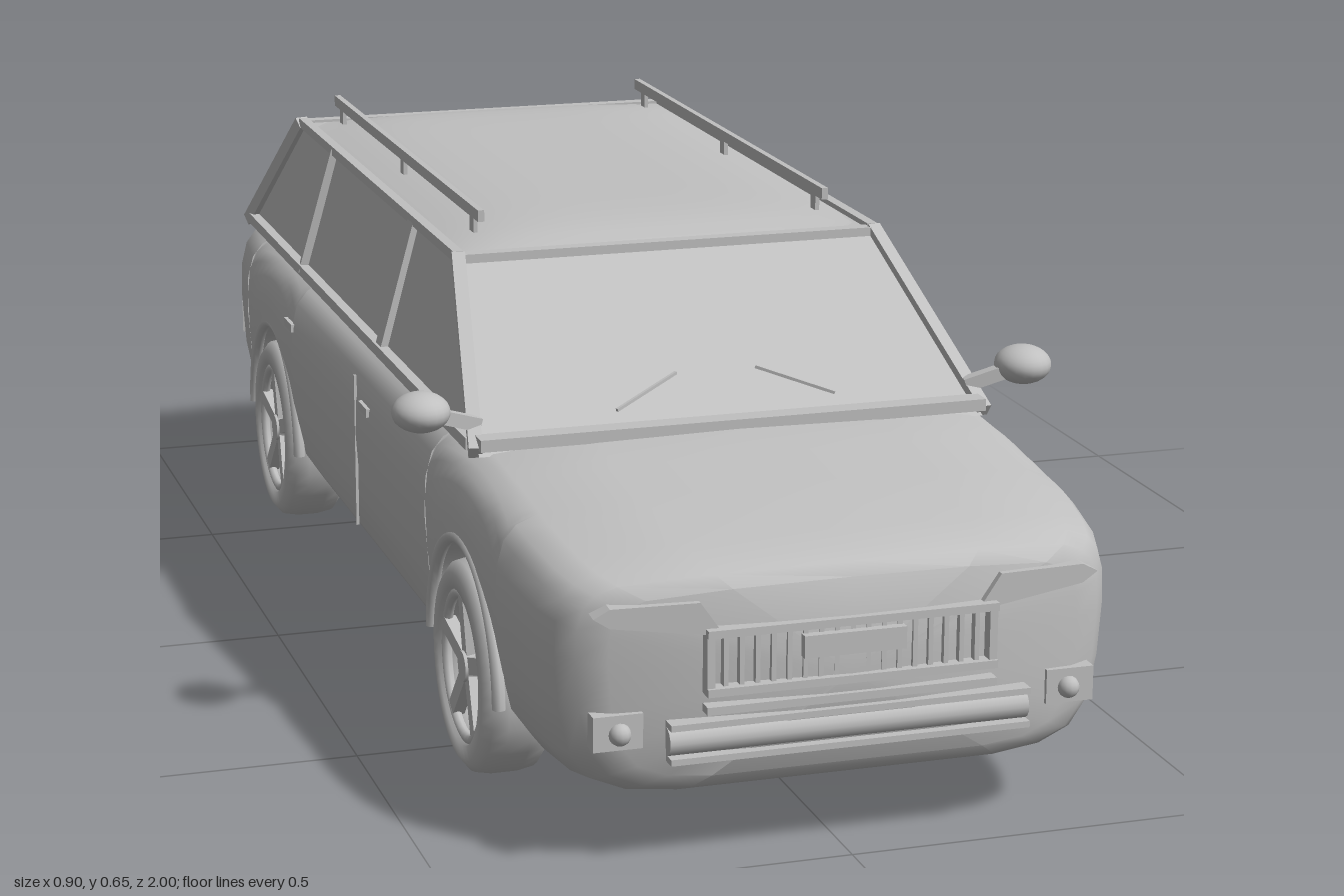
import * as THREE from 'three';
import { toCreasedNormals } from 'three/addons/utils/BufferGeometryUtils.js';

const grey = new THREE.MeshStandardMaterial({ color: 0xc0c0c0 });
grey.name = 'grey paint';
const V = (x, y, z) => new THREE.Vector3(x, y, z);
const lerp = THREE.MathUtils.lerp;

// Piecewise linear lookup in rows sorted by their first entry
function lookup(rows, t, col) {
  let i = 1;
  while (i < rows.length - 1 && rows[i][0] < t) i++;
  const a = rows[i - 1], b = rows[i];
  return lerp(a[col], b[col], THREE.MathUtils.clamp((t - a[0]) / (b[0] - a[0]), 0, 1));
}

function add(parent, name, geometry, x = 0, y = 0, z = 0) {
  const m = new THREE.Mesh(geometry, grey);
  m.name = name;
  m.position.set(x, y, z);
  parent.add(m);
  return m;
}
const box = (parent, name, w, h, d, x, y, z) => add(parent, name, new THREE.BoxGeometry(w, h, d), x, y, z);

// Square bar between two points
function bar(parent, name, a, b, w, d = w) {
  const m = box(parent, name, w, d, a.distanceTo(b), 0, 0, 0);
  m.position.copy(a).lerp(b, 0.5);
  m.lookAt(b);
  return m;
}

const AXLE = 0.585, HUB = 0.14, ARCH = 0.168;
// Body stations: z, half width, bottom, top
const BODY = [
  [-0.99, 0.29, 0.12, 0.345], [-0.98, 0.325, 0.1, 0.38], [-0.95, 0.352, 0.085, 0.4],
  [-0.88, 0.372, 0.078, 0.41], [-0.76, 0.385, 0.075, 0.413], [0.4, 0.385, 0.075, 0.413],
  [0.6, 0.383, 0.075, 0.405], [0.8, 0.378, 0.077, 0.385], [0.9, 0.367, 0.08, 0.372],
  [0.95, 0.354, 0.086, 0.364], [0.975, 0.335, 0.098, 0.355], [0.988, 0.3, 0.115, 0.34],
];
// Side bulge: height fraction, width fraction
const BULGE = [[0, 0.58], [0.02, 0.76], [0.08, 0.88], [0.2, 0.95], [0.4, 0.985], [0.65, 1],
  [0.8, 0.995], [0.9, 0.972], [0.96, 0.93], [1, 0.85]];

function bodyGeometry() {
  const stations = [];
  const plain = z => stations.push([z, 0]);
  const arch = c => {
    plain(c - ARCH);
    for (let i = 0; i <= 16; i++) {
      const a = Math.PI * (1 - i / 16);
      stations.push([c + ARCH * Math.cos(a), HUB + ARCH * Math.sin(a)]);
    }
    plain(c + ARCH);
  };
  const keys = BODY.map(r => r[0]);
  keys.filter(z => z < -AXLE - ARCH).forEach(plain);
  arch(-AXLE);
  plain(0);
  arch(AXLE);
  keys.filter(z => z > AXLE + ARCH).forEach(plain);

  const pos = [], idx = [];
  let n = 0;
  for (const [z, archY] of stations) {
    const [w, lo, hi] = [1, 2, 3].map(c => lookup(BODY, z, c));
    const base = archY ? (archY - lo) / (hi - lo) : 0;
    const half = BULGE.map(([k]) => {
      const t = lerp(base, 1, k);
      return [w * lookup(BULGE, t, 1), lerp(lo, hi, t)];
    });
    half.push([w * 0.5, hi + 0.008]);
    const ring = [...half, [0, hi + 0.011], ...half.slice().reverse().map(([x, y]) => [-x, y])];
    n = ring.length;
    // Ends bow back towards the sides
    const bow = Math.sign(z) * 0.028 * THREE.MathUtils.smoothstep(Math.abs(z), 0.8, 0.98);
    for (const [x, y] of ring) pos.push(x, y, z - bow * (x / 0.35) ** 2);
  }
  for (let i = 0; i < stations.length - 1; i++) {
    for (let j = 0; j < n; j++) {
      const k = (j + 1) % n, a = i * n + j, b = i * n + k;
      idx.push(a, b, a + n, b, b + n, a + n);
    }
  }
  // End caps
  const last = (stations.length - 1) * n, c = stations.length * n;
  pos.push(0, 0.23, -0.993, 0, 0.23, 0.991);
  for (let j = 0; j < n; j++) {
    const k = (j + 1) % n;
    idx.push(c, k, j, c + 1, last + j, last + k);
  }
  const g = new THREE.BufferGeometry();
  g.setAttribute('position', new THREE.Float32BufferAttribute(pos, 3));
  g.setIndex(idx);
  return toCreasedNormals(g, 0.7);
}

// Tapered cabin: a box whose corners follow belt line and roof line
function cabinGeometry() {
  const g = new THREE.BoxGeometry(2, 2, 2), p = g.attributes.position;
  for (let i = 0; i < p.count; i++) {
    const up = p.getY(i) > 0, front = p.getZ(i) > 0;
    p.setXYZ(i, p.getX(i) * (up ? 0.292 : 0.345), up ? 0.6 : 0.405,
      up ? (front ? 0.26 : -0.715) : (front ? 0.55 : -0.9));
  }
  g.computeVertexNormals();
  return g;
}

function roofGeometry() {
  const g = new THREE.PlaneGeometry(2, 2, 16, 20).rotateX(-Math.PI / 2), p = g.attributes.position;
  for (let i = 0; i < p.count; i++) {
    const x = p.getX(i), z = p.getZ(i);
    p.setXYZ(i, x * 0.295, 0.598 + 0.024 * (1 - x ** 4) * (1 - z ** 8), -0.228 + z * 0.495);
  }
  g.computeVertexNormals();
  return g;
}

function wheel(parent, name, side, z) {
  const w = new THREE.Group();
  w.name = name;
  const tyre = [[0.092, -0.03], [0.102, -0.046], [0.122, -0.047], [0.136, -0.036], [0.14, -0.015],
    [0.14, 0.015], [0.136, 0.036], [0.122, 0.047], [0.102, 0.046], [0.092, 0.02]];
  add(w, 'tyre', new THREE.LatheGeometry(tyre.map(([r, h]) => new THREE.Vector2(r, h)), 40));
  add(w, 'rimDish', new THREE.CylinderGeometry(0.096, 0.096, 0.045, 32), 0, -0.005, 0);
  add(w, 'hub', new THREE.CylinderGeometry(0.02, 0.024, 0.03, 16), 0, 0.026, 0);
  const ring = add(w, 'rimRing', new THREE.TorusGeometry(0.095, 0.007, 8, 36), 0, 0.036, 0);
  ring.rotation.x = Math.PI / 2;
  for (let i = 0; i < 5; i++) {
    const a = i * Math.PI * 0.4;
    bar(w, 'spoke', V(0, 0.028, 0), V(Math.cos(a) * 0.094, 0.034, Math.sin(a) * 0.094), 0.022, 0.016);
  }
  w.rotation.z = -side * Math.PI / 2;
  w.position.set(side * 0.339, HUB, z);
  parent.add(w);
}

export function createModel() {
  const car = new THREE.Group();
  car.name = 'estateCar';
  add(car, 'body', bodyGeometry());
  add(car, 'glassCabin', cabinGeometry());
  add(car, 'roof', roofGeometry());

  // Point on the cabin side for a given height and z
  const onSide = (s, y, z) => V(s * lerp(0.348, 0.295, (y - 0.41) / 0.19), y, z);
  for (const s of [1, -1]) {
    // Window frames
    bar(car, 'frontPillar', onSide(s, 0.41, 0.545), onSide(s, 0.6, 0.26), 0.018);
    bar(car, 'middlePillar', onSide(s, 0.41, 0.02), onSide(s, 0.6, 0.02), 0.03, 0.012);
    bar(car, 'rearDoorPillar', onSide(s, 0.41, -0.5), onSide(s, 0.6, -0.49), 0.025, 0.012);
    bar(car, 'rearPillar', onSide(s, 0.41, -0.89), onSide(s, 0.6, -0.715), 0.02);
    bar(car, 'beltTrim', onSide(s, 0.415, 0.52), onSide(s, 0.415, -0.88), 0.016);
    bar(car, 'roofEdge', onSide(s, 0.6, 0.26), onSide(s, 0.6, -0.715), 0.014);
    // Roof rails
    box(car, 'roofRail', 0.009, 0.016, 0.88, s * 0.247, 0.639, -0.24);
    for (const z of [0.16, -0.24, -0.64]) box(car, 'railFoot', 0.006, 0.025, 0.02, s * 0.247, 0.622, z);
    // Mirrors
    add(car, 'mirror', new THREE.SphereGeometry(1, 20, 14), s * 0.413, 0.463, 0.52).scale.set(0.038, 0.026, 0.04);
    bar(car, 'mirrorArm', V(s * 0.335, 0.438, 0.51), V(s * 0.39, 0.456, 0.52), 0.018);
    // Doors
    box(car, 'doorSeam', 0.004, 0.22, 0.004, s * 0.384, 0.27, 0.015);
    for (const z of [0.07, -0.43]) box(car, 'doorHandle', 0.01, 0.012, 0.05, s * 0.382, 0.345, z);
    // Wheels and arch lips
    for (const [label, z] of [['front', AXLE], ['rear', -AXLE]]) {
      wheel(car, label + 'Wheel', s, z);
      const lip = add(car, 'archLip', new THREE.TorusGeometry(ARCH, 0.009, 8, 28, Math.PI), s * 0.376, HUB, z);
      lip.rotation.y = Math.PI / 2;
    }
    // Headlamps
    const lamp = new THREE.Shape([[0.165, 0.3], [0.18, 0.295], [0.3, 0.312], [0.32, 0.325], [0.3, 0.336], [0.19, 0.336]]
      .map(([x, y]) => new THREE.Vector2(s * x, y)));
    const head = add(car, 'headlamp', new THREE.ExtrudeGeometry(lamp, { depth: 0.03, bevelEnabled: false }), 0, 0, 0.968);
    head.rotation.y = s * 0.06;
    // Fog lamps
    box(car, 'fogSurround', 0.062, 0.044, 0.03, s * 0.29, 0.18, 0.962);
    add(car, 'fogLamp', new THREE.SphereGeometry(0.014, 12, 8), s * 0.288, 0.178, 0.977);
    // Tail lamps wrapping the rear corner
    box(car, 'tailLamp', 0.13, 0.045, 0.03, s * 0.235, 0.29, -0.972).rotation.y = s * 0.08;
    box(car, 'tailLampSide', 0.03, 0.05, 0.1, s * 0.343, 0.25, -0.92).rotation.y = s * 0.25;
    box(car, 'rearReflector', 0.09, 0.03, 0.03, s * 0.25, 0.16, -0.97).rotation.y = s * 0.08;
    // Wipers
    bar(car, 'wiper', V(s * 0.15, 0.442, 0.512), V(s * 0.055, 0.473, 0.465), 0.004);
  }

  // Windscreen and rear window frames
  box(car, 'windscreenBase', 0.69, 0.016, 0.03, 0, 0.422, 0.545);
  box(car, 'windscreenTop', 0.58, 0.014, 0.02, 0, 0.597, 0.262);
  box(car, 'rearWindowBase', 0.66, 0.016, 0.02, 0, 0.417, -0.893);
  box(car, 'rearWindowTop', 0.58, 0.014, 0.02, 0, 0.597, -0.716);

  // Grille
  for (const y of [0.225, 0.298]) box(car, 'grilleEdge', 0.37, 0.01, 0.02, 0, y, 0.988);
  for (const x of [-0.18, 0.18]) box(car, 'grilleSide', 0.01, 0.08, 0.02, x, 0.261, 0.984);
  for (let i = 0; i < 17; i++) box(car, 'grilleSlat', 0.006, 0.07, 0.012, (i - 8) * 0.02, 0.261, 0.984);
  box(car, 'frontPlate', 0.13, 0.028, 0.012, 0, 0.272, 0.994);
  box(car, 'bumperStrip', 0.37, 0.01, 0.02, 0, 0.202, 0.986);
  for (const y of [0.142, 0.185]) box(car, 'lowerIntakeEdge', 0.46, 0.008, 0.03, 0, y, 0.981);
  const intake = add(car, 'lowerIntake', new THREE.CylinderGeometry(0.018, 0.018, 0.46, 16), 0, 0.163, 0.975);
  intake.rotation.z = Math.PI / 2;

  // Rear bumper and plate
  box(car, 'rearBumper', 0.5, 0.035, 0.03, 0, 0.205, -0.983);
  box(car, 'rearPlate', 0.16, 0.04, 0.012, 0, 0.27, -0.993);
  box(car, 'rearHandle', 0.3, 0.012, 0.014, 0, 0.308, -0.988);
  box(car, 'rearLowerTrim', 0.4, 0.012, 0.02, 0, 0.14, -0.985);
  return car;
}
